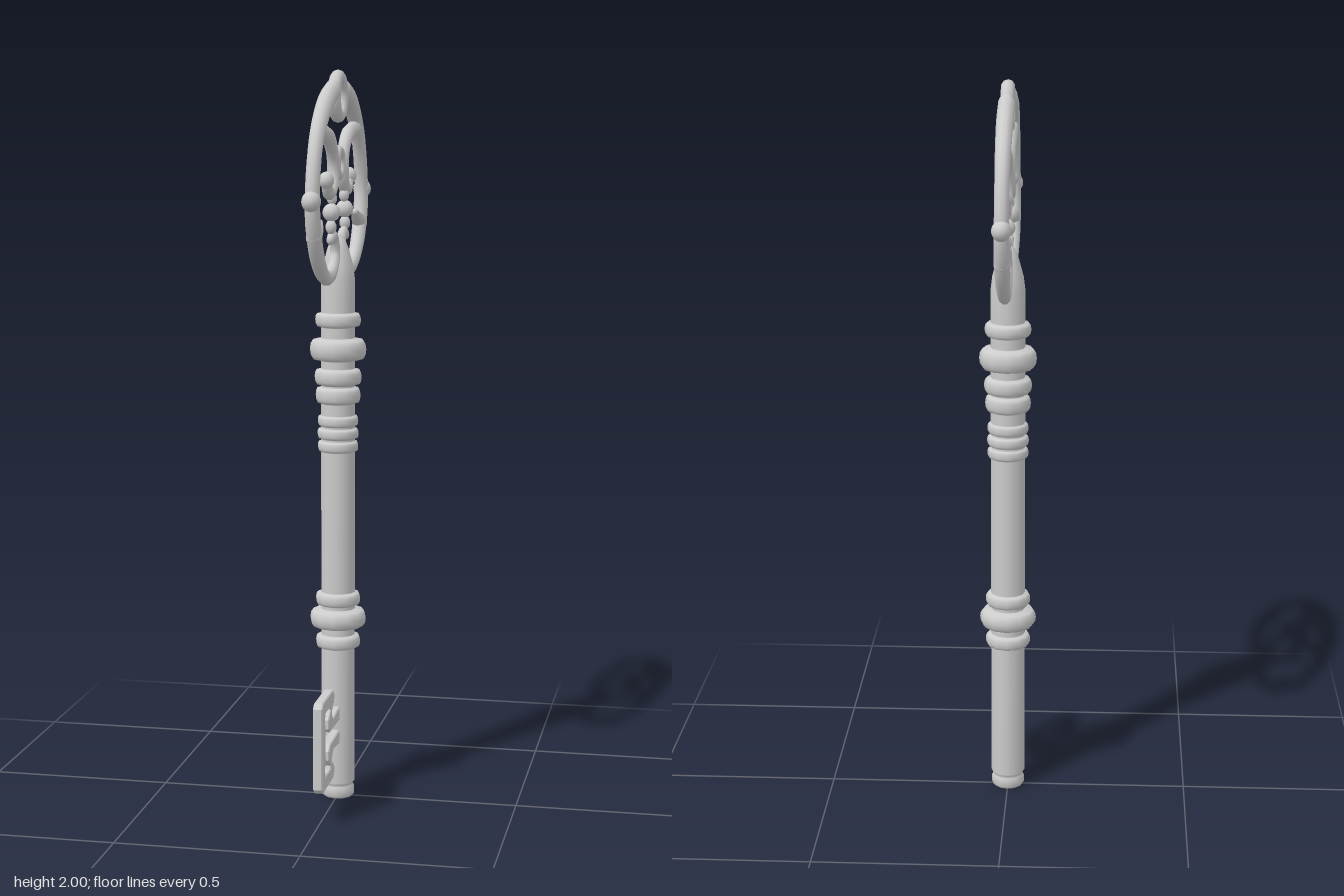
import * as THREE from 'three';

const material = new THREE.MeshStandardMaterial({ color: 0xcccccc });
const doubleSided = new THREE.MeshStandardMaterial({ color: 0xcccccc, side: THREE.DoubleSide });

function add(parent, name, geometry, mat = material) {
  const mesh = new THREE.Mesh(geometry, mat);
  mesh.name = name;
  parent.add(mesh);
  return mesh;
}

function ball(parent, name, z, y, r, sx = 1, sy = 1, sz = 1) {
  const mesh = add(parent, name, new THREE.SphereGeometry(r, 14, 10));
  mesh.position.set(0, y, z);
  mesh.scale.set(sx, sy, sz);
  return mesh;
}

// Tube through [z, y] points, its radius following a list of values, with rounded ends
function taperedTube(parent, name, points, radii, flat = 0.9) {
  const curve = new THREE.CatmullRomCurve3(points.map(([z, y]) => new THREE.Vector3(0, y, z)));
  const steps = points.length * 5, sides = 10;
  const geometry = new THREE.TubeGeometry(curve, steps, 1, sides);
  const pos = geometry.attributes.position;
  const v = new THREE.Vector3();
  const radiusAt = (t) => {
    const f = t * (radii.length - 1), i = Math.min(Math.floor(f), radii.length - 2);
    return THREE.MathUtils.lerp(radii[i], radii[i + 1], f - i);
  };
  for (let i = 0; i <= steps; i++) {
    const centre = curve.getPointAt(i / steps);
    for (let j = 0; j <= sides; j++) {
      const k = i * (sides + 1) + j;
      v.fromBufferAttribute(pos, k).sub(centre).multiplyScalar(radiusAt(i / steps));
      pos.setXYZ(k, v.x * flat, v.y + centre.y, v.z + centre.z);
    }
  }
  add(parent, name, geometry);
  const ends = [[points[0], radii[0]], [points.at(-1), radii.at(-1)]];
  for (const [[z, y], r] of ends) ball(parent, name + 'End', z, y, r, flat);
}

// Turned shaft: plain rod with rounded collars and a tapered top
function makeShaft(group) {
  const R = 0.047;
  const collars = [ // height, radius, half thickness
    [0.445, 0.062, 0.018], [0.51, 0.078, 0.026], [0.565, 0.062, 0.018],
    [0.99, 0.056, 0.014], [1.025, 0.057, 0.014], [1.06, 0.056, 0.014],
    [1.13, 0.062, 0.022], [1.18, 0.065, 0.022], [1.255, 0.078, 0.03], [1.335, 0.063, 0.019],
  ];
  const profile = [[0, 0], [0.04, 0], [0.046, 0.008], [0.046, 0.026], [0.041, 0.032],
    [0.041, 0.038], [R, 0.045]];
  for (const [y, r, h] of collars) {
    profile.push([R, y - h - 0.002]);
    for (let i = 0; i <= 6; i++) {
      const a = -Math.PI / 2 + (i / 6) * Math.PI;
      profile.push([R + (r - R) * Math.sqrt(Math.max(0, Math.cos(a))), y + h * Math.sin(a)]);
    }
    profile.push([R, y + h + 0.002]);
  }
  profile.push([R, 1.44], [0.042, 1.48], [0.03, 1.525], [0.018, 1.555], [0, 1.57]);
  add(group, 'shaft', new THREE.LatheGeometry(profile.map(([x, y]) => new THREE.Vector2(x, y)), 12));
}

// One side of the bow, drawn towards +z
function makeBowSide(name) {
  const side = new THREE.Group();
  side.name = name;
  taperedTube(side, 'outerScroll', [
    [0.075, 1.945], [0.14, 1.925], [0.21, 1.888], [0.275, 1.83], [0.315, 1.755], [0.332, 1.67],
    [0.318, 1.6], [0.285, 1.54], [0.235, 1.492], [0.175, 1.464], [0.115, 1.462],
    [0.068, 1.48], [0.04, 1.515], [0.048, 1.553], [0.075, 1.568], [0.1, 1.557],
  ], [0.028, 0.028, 0.026, 0.024, 0.024, 0.026, 0.025, 0.021, 0.02, 0.017, 0.014], 0.8);
  taperedTube(side, 'innerScroll', [
    [0.262, 1.845], [0.195, 1.838], [0.13, 1.825], [0.085, 1.795], [0.063, 1.752],
    [0.068, 1.71], [0.095, 1.684], [0.13, 1.682], [0.152, 1.708],
  ], [0.02, 0.022, 0.022, 0.02, 0.02, 0.019, 0.017], 0.85);
  ball(side, 'scrollTip', 0.154, 1.715, 0.023, 0.9);
  // Knob and thorn on the outer curve
  ball(side, 'knob', 0.345, 1.67, 0.03, 0.85, 0.9, 1);
  taperedTube(side, 'thorn', [[0.31, 1.578], [0.275, 1.592], [0.24, 1.61]], [0.024, 0.019, 0.01]);
  // Beads joining the two scrolls
  ball(side, 'bead', 0.09, 1.628, 0.024);
  ball(side, 'smallBead', 0.082, 1.665, 0.014, 1, 1.3, 1);
  ball(side, 'smallBead', 0.094, 1.59, 0.015, 1, 1.3, 1);
  return side;
}

function makeBow(group) {
  const bow = new THREE.Group();
  bow.name = 'bow';
  const front = makeBowSide('bowFrontSide');
  const back = makeBowSide('bowBackSide');
  back.rotation.y = Math.PI;
  bow.add(front, back);
  for (const [name, y, r, tube] of [['topRing', 1.93, 0.052, 0.018], ['smallRing', 1.754, 0.034, 0.014]]) {
    const ring = add(bow, name, new THREE.TorusGeometry(r, tube, 10, 24));
    ring.position.y = y;
    ring.rotation.y = Math.PI / 2;
  }
  group.add(bow);
}

// Flat key bit, symmetric about its middle height
function makeBit(group) {
  const mid = 0.214;
  const outer = [[0.03, 0.052], [0.125, 0.042], [0.143, 0.052], [0.15, 0.07],
    [0.118, 0.092], [0.116, 0.108], [0.13, 0.122], [0.262, 0.122], [0.275, 0.11]];
  const inner = [[0.237, 0.02], [0.23, 0.042], [0.242, 0.062], [0.237, 0.09], [0.165, 0.09],
    [0.16, 0.078], [0.187, 0.055], [0.187, 0.033], [0.168, 0.02], [0.03, 0.016]];
  const flip = (list) => list.map(([z, y]) => [z, -y]).reverse();
  const outline = [...outer, ...flip(outer), ...flip(inner).slice().map((p) => p), ...inner];
  const shape = new THREE.Shape(outline.map(([z, y]) => new THREE.Vector2(z, y + mid)));
  const bevel = 0.003;
  const geometry = new THREE.ExtrudeGeometry(shape, {
    depth: 0.02, bevelEnabled: true, bevelThickness: bevel, bevelSize: bevel, bevelSegments: 1,
  });
  geometry.translate(0, 0, -0.01);
  geometry.rotateY(-Math.PI / 2);
  add(group, 'bit', geometry, doubleSided);
}

export function createModel() {
  const group = new THREE.Group();
  group.name = 'key';
  makeShaft(group);
  makeBow(group);
  makeBit(group);
  return group;
}
